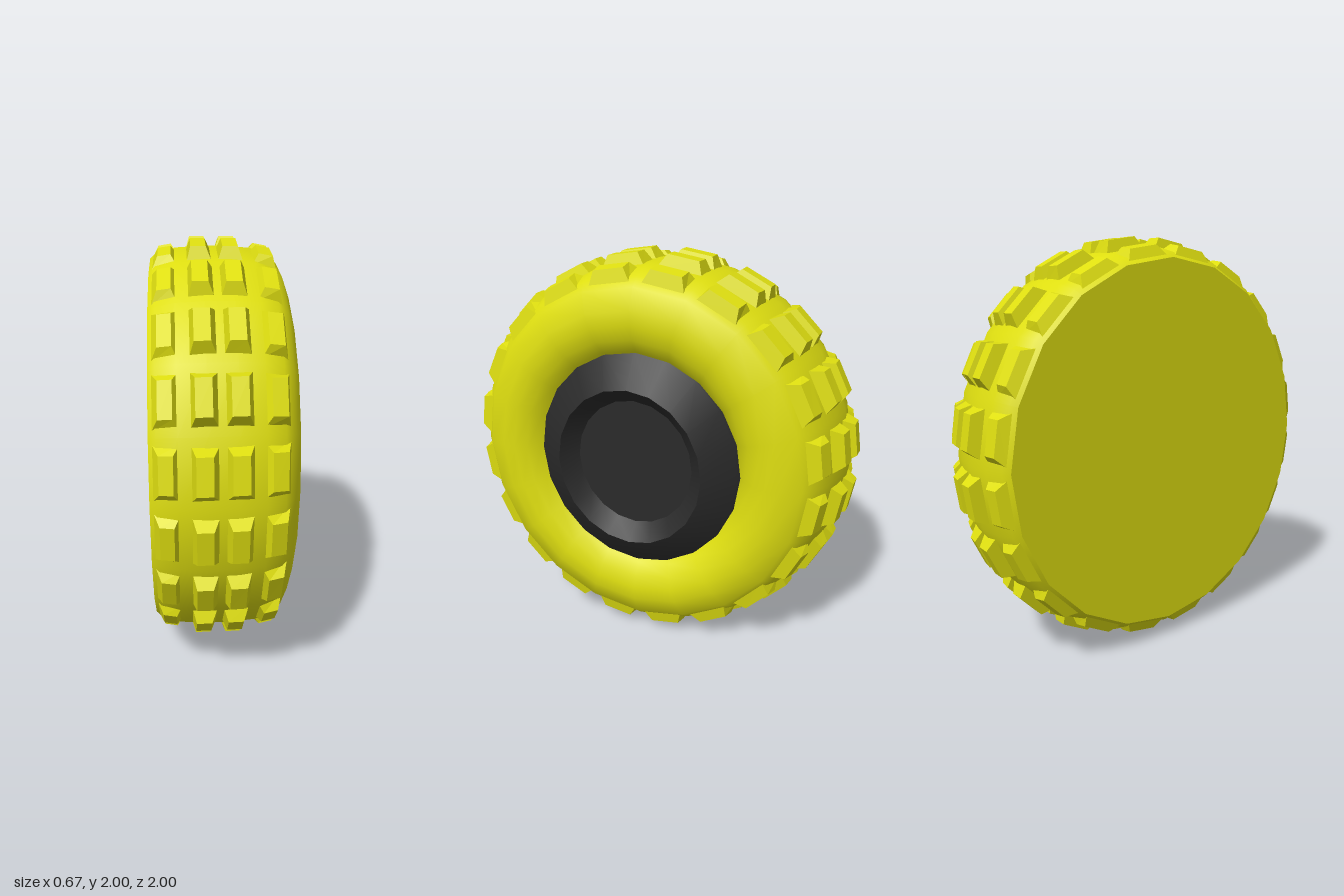
import * as THREE from 'three';
import { toCreasedNormals } from 'three/addons/utils/BufferGeometryUtils.js';

const SIDES = 20;

// Tyre flattens and shifts slightly toward the hub side
function skew(geo) {
  const p = geo.attributes.position;
  for (let i = 0; i < p.count; i++) {
    const t = THREE.MathUtils.clamp((p.getX(i) + 0.1) / 0.4, 0, 1);
    p.setZ(i, p.getZ(i) * (1 - 0.06 * t) + 0.03 * t);
  }
  return geo;
}

// Turned form around the x axis from [x, radius] pairs
function turned(profile) {
  const pts = profile.map(([x, r]) => new THREE.Vector2(r, x));
  return new THREE.LatheGeometry(pts, SIDES).rotateZ(-Math.PI / 2);
}

// Tapered tread block: [x, radius] for both base corners and both top corners
function treadBlock({ base, top }) {
  const geo = new THREE.BoxGeometry(2, 2, 2);
  const p = geo.attributes.position;
  for (let i = 0; i < p.count; i++) {
    const upper = p.getY(i) > 0;
    const [x, r] = (upper ? top : base)[p.getX(i) > 0 ? 1 : 0];
    p.setXYZ(i, x, r, p.getZ(i) * (upper ? 0.08 : 0.117));
  }
  return geo;
}

export function createModel() {
  const model = new THREE.Group();
  const rubber = new THREE.MeshStandardMaterial({ color: 0xdede10 });
  const blockMat = new THREE.MeshStandardMaterial({ color: 0xdede10, flatShading: true });
  const dark = new THREE.MeshStandardMaterial({ color: 0x2a2a2a });

  // Tyre body: flat closed back, rounded tread, sidewall dipping to the rim
  const body = skew(turned([
    [-0.34, 0], [-0.34, 0.9], [-0.31, 0.928], [-0.22, 0.952], [-0.1, 0.96],
    [0.03, 0.96], [0.14, 0.95], [0.22, 0.92], [0.265, 0.88], [0.3, 0.78],
    [0.302, 0.71], [0.285, 0.64], [0.25, 0.58], [0.21, 0.54],
  ]));
  const tyre = new THREE.Mesh(toCreasedNormals(body, 0.8), rubber);
  tyre.name = 'tyreBody';
  model.add(tyre);

  // Four rows of tread blocks
  const rows = [
    { name: 'backShoulderTread', base: [[-0.325, 0.9], [-0.215, 0.925]], top: [[-0.3, 0.955], [-0.24, 0.965]] },
    { name: 'backCentreTread', base: [[-0.17, 0.93], [-0.05, 0.93]], top: [[-0.15, 1], [-0.08, 1]] },
    { name: 'frontCentreTread', base: [[-0.03, 0.93], [0.09, 0.93]], top: [[-0.005, 1], [0.065, 1]] },
    { name: 'frontShoulderTread', base: [[0.13, 0.925], [0.245, 0.87]], top: [[0.16, 0.968], [0.225, 0.955]] },
  ];
  for (const row of rows) {
    const group = new THREE.Group();
    group.name = row.name;
    for (let i = 0; i < SIDES; i++) {
      const geo = treadBlock(row).rotateX(((i + 0.5) / SIDES) * Math.PI * 2);
      const block = new THREE.Mesh(skew(geo), blockMat);
      block.name = 'treadBlock';
      group.add(block);
    }
    model.add(group);
  }

  // Hub: outer cone, raised lip and recessed centre disc
  const hubGeo = turned([[0.215, 0.59], [0.234, 0.57], [0.333, 0.41], [0.25, 0.33], [0.25, 0]]);
  hubGeo.scale(1, 1, 0.92).translate(0, 0, 0.04);
  const hub = new THREE.Mesh(toCreasedNormals(hubGeo, 0.5), dark);
  hub.name = 'hub';
  model.add(hub);

  model.position.y = 1;
  const root = new THREE.Group();
  root.name = 'wheel';
  root.add(model);
  return root;
}
